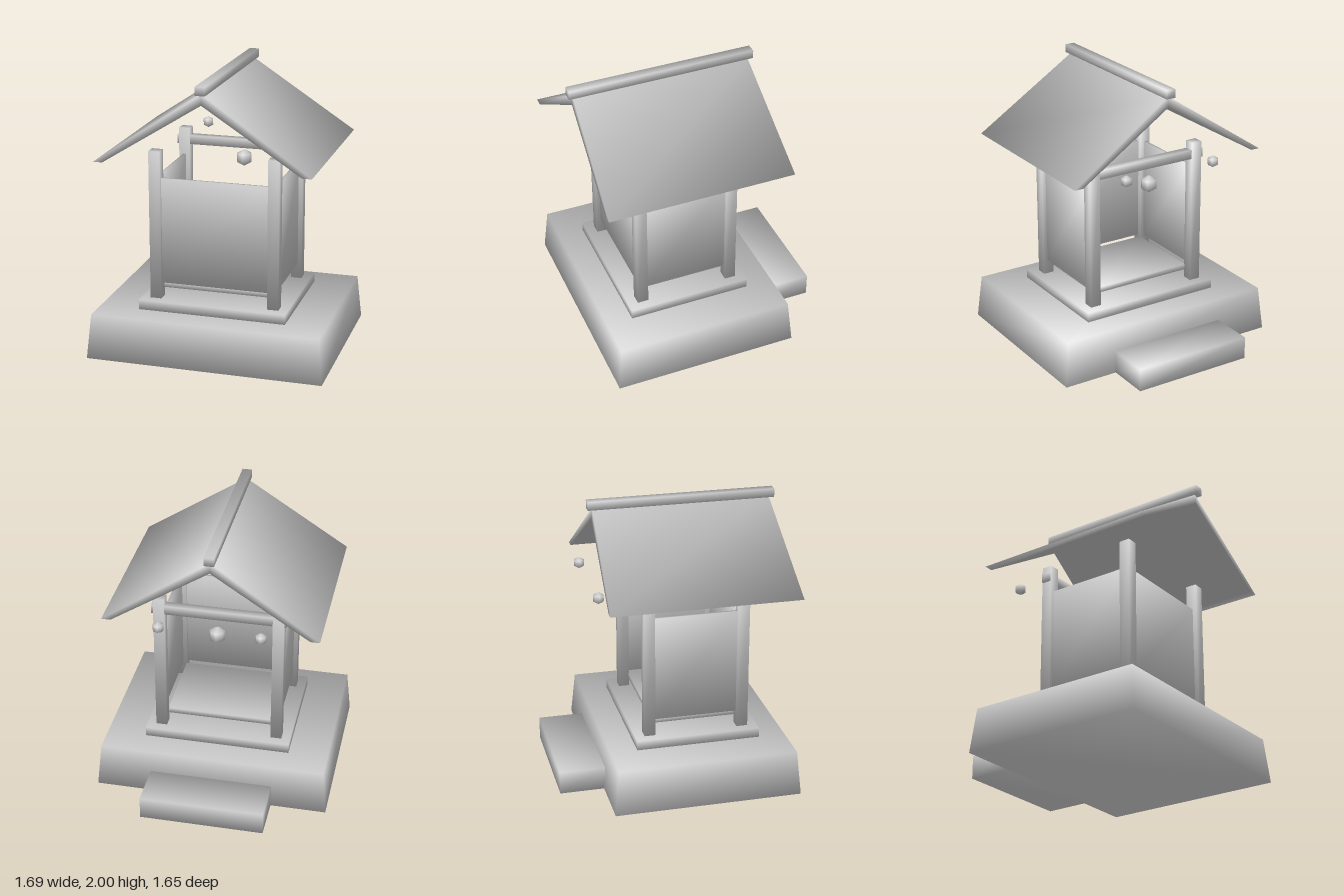
import * as THREE from 'three';

const grey = new THREE.MeshStandardMaterial({ color: 0xcccccc });
grey.name = 'plain grey';

// Smooth shading around corners: each corner normal is the plain average
// of the distinct faces that meet there, whatever their size
function soften(geometry) {
  const g = geometry.index ? geometry.toNonIndexed() : geometry;
  g.deleteAttribute('uv');
  g.computeVertexNormals();
  const p = g.attributes.position, n = g.attributes.normal;
  const corners = new Map();
  const keyOf = (i) => [p.getX(i), p.getY(i), p.getZ(i)].map((v) => Math.round(v * 1e4)).join();
  for (let i = 0; i < p.count; i++) {
    const key = keyOf(i);
    const normal = new THREE.Vector3().fromBufferAttribute(n, i);
    if (!corners.has(key)) corners.set(key, []);
    const faces = corners.get(key);
    if (!faces.some((f) => f.dot(normal) > 0.99)) faces.push(normal);
  }
  for (let i = 0; i < p.count; i++) {
    const sum = new THREE.Vector3();
    corners.get(keyOf(i)).forEach((f) => sum.add(f));
    sum.normalize();
    n.setXYZ(i, sum.x, sum.y, sum.z);
  }
  return g;
}

export function createModel() {
  const model = new THREE.Group();
  model.name = 'shrine';

  function add(name, geometry) {
    const mesh = new THREE.Mesh(geometry, grey);
    mesh.name = name;
    model.add(mesh);
    return mesh;
  }

  // Box given by its limits; inset narrows the top on every side
  function block(name, [x0, x1], [y0, y1], [z0, z1], inset = 0) {
    const g = new THREE.BoxGeometry(x1 - x0, y1 - y0, z1 - z0);
    const p = g.attributes.position;
    for (let i = 0; i < p.count; i++) {
      if (p.getY(i) > 0) {
        p.setX(i, p.getX(i) - Math.sign(p.getX(i)) * inset);
        p.setZ(i, p.getZ(i) - Math.sign(p.getZ(i)) * inset);
      }
    }
    g.translate((x0 + x1) / 2, (y0 + y1) / 2, (z0 + z1) / 2);
    return add(name, soften(g));
  }

  // Foundation, plinth, step and raised floor
  block('base', [-0.845, 0.845], [0, 0.32], [-0.51, 0.825], 0.03);
  block('plinth', [-0.53, 0.53], [0.32, 0.39], [-0.285, 0.605]);
  block('step', [-0.445, 0.445], [0, 0.165], [-0.825, -0.5]);
  block('floor', [-0.39, 0.39], [0.45, 0.49], [-0.145, 0.46]);

  // Posts and side walls
  for (const s of [-1, 1]) {
    const xs = [s * 0.425 - 0.04, s * 0.425 + 0.04];
    block('frontPost', xs, [0.39, 1.46], [0.455, 0.535]);
    block('backPost', xs, [0.39, 1.46], [-0.218, -0.14]);
    block('sideWall', [s * 0.425 - 0.01, s * 0.425 + 0.01], [0.5, 1.265], [-0.145, 0.46]);
  }
  block('frontWall', [-0.39, 0.39], [0.5, 1.265], [0.485, 0.505]);
  block('lintel', [-0.48, 0.48], [1.34, 1.405], [-0.213, -0.147]);

  // Gabled roof, its ends flaring outward toward the eaves
  const profile = [[0, 1.945], [-0.755, 1.44], [-0.69, 1.44], [0, 1.87], [0.69, 1.44], [0.755, 1.44]];
  const shape = new THREE.Shape(profile.map(([x, y]) => new THREE.Vector2(x, y)));
  const roof = new THREE.ExtrudeGeometry(shape, { depth: 1, bevelEnabled: false });
  const rp = roof.attributes.position;
  for (let i = 0; i < rp.count; i++) {
    const half = 0.667 - 0.033 * (rp.getY(i) - 1.44) / 0.505;
    rp.setZ(i, 0.158 + (rp.getZ(i) > 0.5 ? half : -half));
  }
  add('roof', soften(roof));
  block('ridgeBeam', [-0.035, 0.035], [1.94, 2], [-0.51, 0.825]);

  // Hanging lamps on the open side
  for (const [x, y, z, r] of [[-0.355, 1.423, -0.51, 0.043], [0.355, 1.423, -0.51, 0.043], [0, 1.243, -0.243, 0.063]]) {
    add('lamp', new THREE.SphereGeometry(r, 8, 3)).position.set(x, y, z);
  }
  return model;
}
